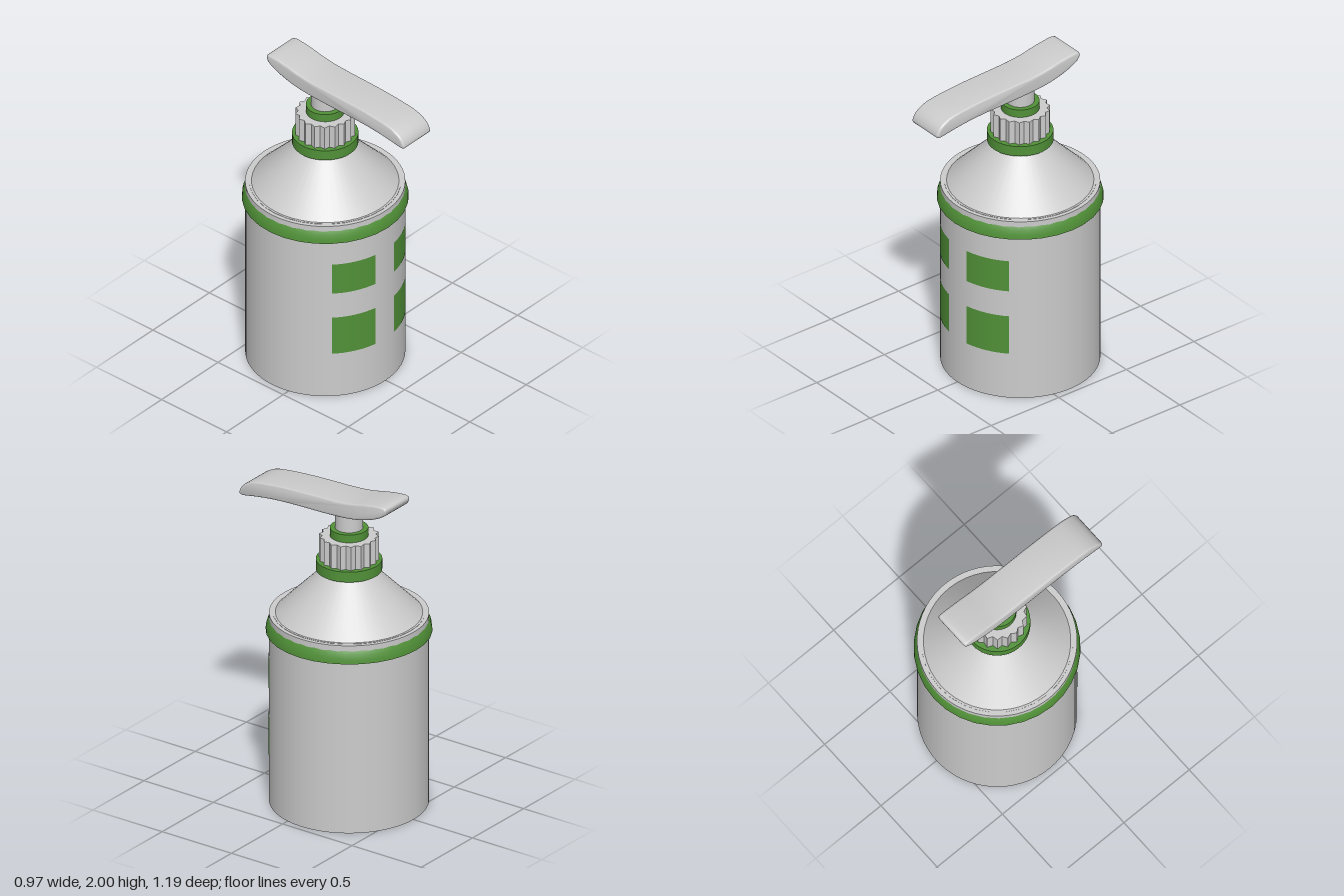
import * as THREE from 'three';
import { toCreasedNormals } from 'three/addons/utils/BufferGeometryUtils.js';

const grey = new THREE.MeshStandardMaterial({ color: 0xcccccc });
const green = new THREE.MeshStandardMaterial({ color: 0x519138 });
const greenThin = new THREE.MeshStandardMaterial({ color: 0x519138, side: THREE.DoubleSide });

const AXIS_Z = -0.11;
const BODY_R = 0.465;

export function createModel() {
  const model = new THREE.Group();
  model.name = 'pumpBottle';

  // Everything round stands on the bottle's own axis
  const bottle = new THREE.Group();
  bottle.name = 'bottle';
  bottle.position.z = AXIS_Z;
  model.add(bottle);

  const add = (parent, name, geometry, material) => {
    const mesh = new THREE.Mesh(geometry, material);
    mesh.name = name;
    parent.add(mesh);
    return mesh;
  };

  // Upright cylinder or cone between two heights
  const drum = (name, y0, y1, rBottom, rTop, material, segments = 48) => {
    const g = new THREE.CylinderGeometry(rTop, rBottom, y1 - y0, segments);
    add(bottle, name, g, material).position.y = (y0 + y1) / 2;
  };

  drum('body', 0, 1.2, BODY_R, BODY_R, grey, 64);
  drum('shoulderRim', 1.19, 1.202, 0.442, 0.442, grey, 32);
  drum('shoulderCone', 1.2, 1.485, 0.43, 0.148, grey);
  drum('neckCollar', 1.48, 1.545, 0.193, 0.193, green);
  drum('pumpCollar', 1.69, 1.745, 0.112, 0.112, green);
  drum('pumpStem', 1.74, 1.88, 0.082, 0.082, grey);

  // Rounded band around the shoulder
  const bandProfile = [[0.485, 1.09], [0.483, 1.115], [0.476, 1.143], [0.464, 1.17], [0.45, 1.19], [0.44, 1.2]]
    .map(([r, y]) => new THREE.Vector2(r, y));
  add(bottle, 'shoulderBand', new THREE.LatheGeometry(bandProfile, 32), greenThin);
  const underside = new THREE.RingGeometry(0.46, 0.485, 32).rotateX(Math.PI / 2);
  add(bottle, 'bandUnderside', underside, grey).position.y = 1.09;

  // Screw cap with grip ridges
  const ridges = 18;
  const capShape = new THREE.Shape();
  for (let i = 0; i < ridges * 2; i++) {
    const a = (i / (ridges * 2)) * Math.PI * 2;
    const r = i % 2 ? 0.156 : 0.175;
    if (i) capShape.lineTo(r * Math.cos(a), r * Math.sin(a));
    else capShape.moveTo(r, 0);
  }
  const cap = new THREE.ExtrudeGeometry(capShape, { depth: 0.155, bevelEnabled: false });
  cap.rotateX(-Math.PI / 2);
  add(bottle, 'ridgedCap', cap, grey).position.y = 1.54;

  // Square panels wrapped on the front of the body
  for (const [row, y0, y1] of [['upper', 0.725, 0.93], ['lower', 0.3, 0.555]]) {
    for (const [side, x0, x1] of [['Right', -0.325, -0.083], ['Left', 0.08, 0.322]]) {
      const a0 = Math.asin(x0 / BODY_R);
      const a1 = Math.asin(x1 / BODY_R);
      const r = BODY_R + 0.002;
      const g = new THREE.CylinderGeometry(r, r, y1 - y0, 12, 1, true, a0, a1 - a0);
      add(bottle, row + side + 'Panel', g, greenThin).position.y = (y0 + y1) / 2;
    }
  }

  // Pump head: S-shaped side profile (z, y) extruded across the width
  const profile = [
    [0.598, 1.82], [0.58, 1.858], [0.54, 1.89], [0.456, 1.918], [0.24, 1.939], [-0.07, 1.951],
    [-0.2, 1.964], [-0.3, 1.984], [-0.4, 1.999], [-0.45, 1.997], [-0.46, 1.975], [-0.443, 1.945],
    [-0.4, 1.919], [-0.34, 1.895], [-0.23, 1.867], [-0.07, 1.852], [0.2, 1.844], [0.35, 1.835],
    [0.47, 1.82], [0.56, 1.804], [0.59, 1.806], [0.598, 1.82],
  ].map(([z, y]) => new THREE.Vector2(z, y));
  const headShape = new THREE.Shape();
  headShape.moveTo(profile[0].x, profile[0].y);
  headShape.splineThru(profile.slice(1));
  const bevel = 0.014;
  const width = 0.244;
  let head = new THREE.ExtrudeGeometry(headShape, {
    depth: width - 2 * bevel, curveSegments: 3,
    bevelThickness: bevel, bevelSize: bevel, bevelOffset: -bevel, bevelSegments: 4,
  });
  head.translate(0, 0, bevel - width / 2);
  head.rotateY(-Math.PI / 2);
  head = toCreasedNormals(head, 0.7);
  add(model, 'pumpHead', head, grey);

  return model;
}
